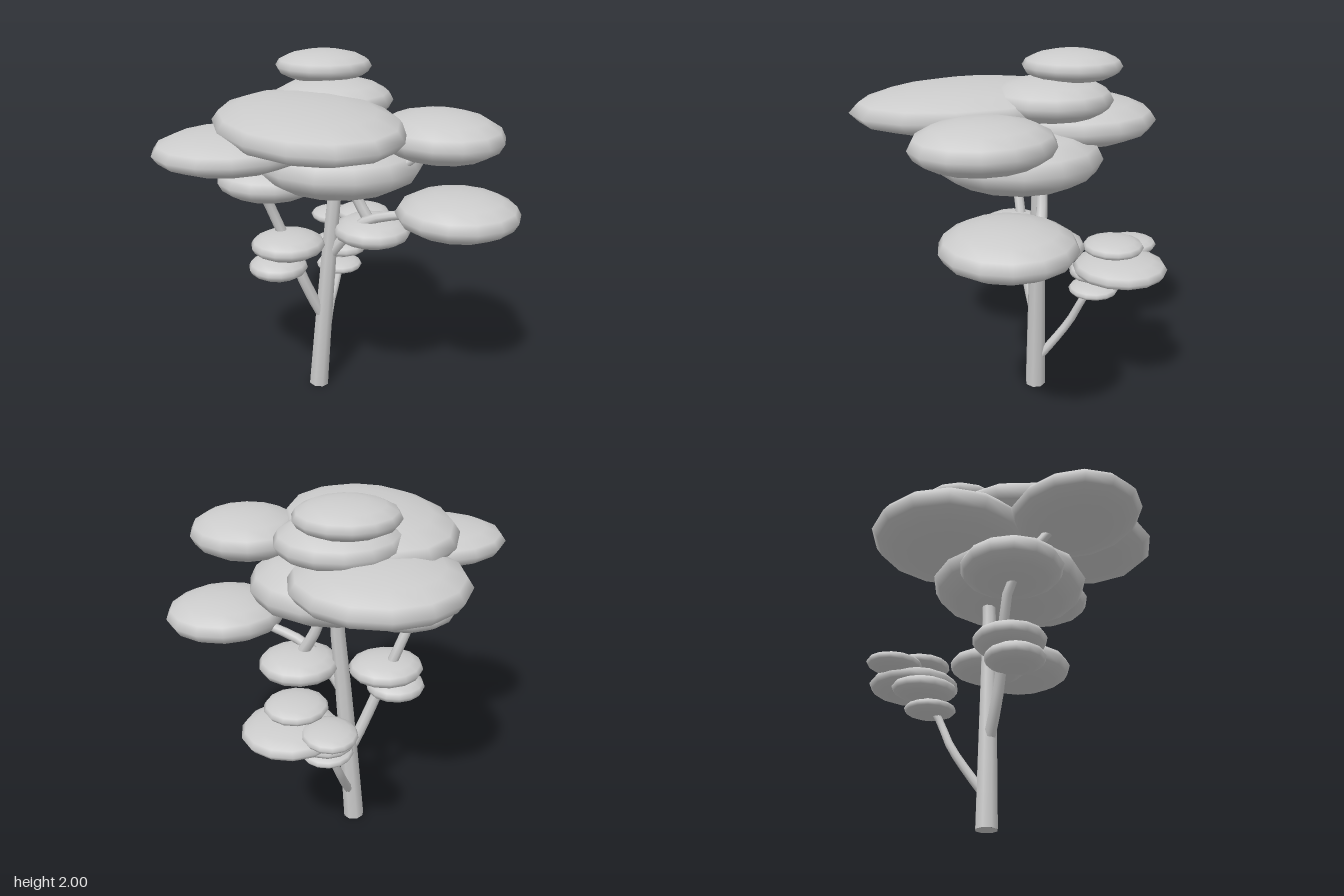
import * as THREE from 'three';

const bark = new THREE.MeshStandardMaterial({ color: 0xcccccc });
const leaves = new THREE.MeshStandardMaterial({ color: 0xcccccc });

// Tapered limb: rings of vertices swept along a smooth curve, with capped ends
function limb(name, points, r0, r1, sides = 8, steps = 10) {
  const curve = new THREE.CatmullRomCurve3(points.map(p => new THREE.Vector3(...p)));
  const geo = new THREE.TubeGeometry(curve, steps, 1, sides, false);
  const pos = geo.attributes.position;
  const v = new THREE.Vector3();
  for (let i = 0; i < pos.count; i++) {
    const t = Math.floor(i / (sides + 1)) / steps;
    const c = curve.getPointAt(t);
    v.fromBufferAttribute(pos, i).sub(c).multiplyScalar(r0 + (r1 - r0) * t).add(c);
    pos.setXYZ(i, v.x, v.y, v.z);
  }
  geo.computeBoundingSphere();
  const group = new THREE.Group();
  group.name = name;
  const tube = new THREE.Mesh(geo, bark);
  tube.name = name + 'Tube';
  group.add(tube);
  for (const [t, r, s] of [[0, r0, -1], [1, r1, 1]]) {
    const cap = new THREE.Mesh(new THREE.CircleGeometry(r, sides), bark);
    cap.name = name + 'Cap';
    cap.position.copy(curve.getPointAt(t));
    cap.quaternion.setFromUnitVectors(new THREE.Vector3(0, 0, 1), curve.getTangentAt(t).multiplyScalar(s));
    group.add(cap);
  }
  return group;
}

// Flattened leaf pads: name, centre, radii
const pads = [
  ['crownTop', [0.09, 1.915, -0.28], [0.265, 0.085, 0.265]],
  ['crownUpper', [0.09, 1.755, -0.15], [0.33, 0.117, 0.33]],
  ['crownFront', [-0.18, 1.71, 0.18], [0.455, 0.13, 0.65]],
  ['crownBack', [-0.04, 1.605, -0.38], [0.45, 0.135, 0.46]],
  ['crownRight', [-0.55, 1.605, 0.11], [0.39, 0.105, 0.35]],
  ['crownCentre', [0.06, 1.465, 0.03], [0.455, 0.175, 0.45]],
  ['crownLeft', [0.435, 1.655, 0.42], [0.315, 0.125, 0.355]],
  ['sideLeft', [0.595, 1.205, 0.38], [0.335, 0.12, 0.33]],
  ['sideRight', [-0.28, 1.355, -0.13], [0.29, 0.11, 0.285]],
  ['lowRightUpper', [-0.195, 0.965, -0.1], [0.21, 0.075, 0.2]],
  ['lowRightLower', [-0.255, 0.84, -0.1], [0.167, 0.067, 0.165]],
  ['lowLeftFront', [0.275, 1.02, 0], [0.222, 0.083, 0.225]],
  ['lowLeftOuter', [0.425, 0.87, -0.4], [0.255, 0.072, 0.255]],
  ['lowLeftInner', [0.25, 0.79, -0.4], [0.16, 0.057, 0.185]],
  ['lowLeftBottom', [0.23, 0.67, -0.37], [0.14, 0.041, 0.142]],
  ['lowLeftTop', [0.39, 0.985, -0.375], [0.165, 0.05, 0.165]],
  ['lowLeftBack', [0.275, 0.92, -0.575], [0.14, 0.045, 0.155]],
];

export function createModel() {
  const tree = new THREE.Group();
  tree.name = 'tree';

  // Leaning trunk
  tree.add(limb('trunk', [[0, 0, -0.13], [0.03, 0.5, -0.115], [0.06, 0.95, -0.1], [0.085, 1.3, -0.09], [0.09, 1.75, -0.12]], 0.06, 0.032));

  // Branches reaching into the pads
  tree.add(limb('backBranch', [[0.035, 0.2, -0.14], [0.08, 0.3, -0.2], [0.14, 0.45, -0.28], [0.2, 0.6, -0.32], [0.25, 0.75, -0.39], [0.36, 0.87, -0.4]], 0.026, 0.018));
  tree.add(limb('rightBranch', [[0.02, 0.47, -0.115], [-0.06, 0.63, -0.115], [-0.13, 0.8, -0.12], [-0.22, 1.04, -0.15], [-0.31, 1.26, -0.15], [-0.43, 1.48, -0.03], [-0.5, 1.6, 0.06]], 0.034, 0.025));
  tree.add(limb('leftBranch', [[0.055, 0.86, -0.1], [0.12, 0.98, -0.04], [0.22, 1.1, 0.05], [0.36, 1.16, 0.18], [0.55, 1.2, 0.34]], 0.034, 0.022));
  tree.add(limb('innerBranch', [[0.25, 1.09, 0], [0.2, 1.2, -0.04], [0.16, 1.32, -0.06], [0.12, 1.5, -0.06]], 0.033, 0.028, 8, 6));
  tree.add(limb('frontBranch', [[0.09, 1.36, -0.08], [0.17, 1.42, 0.14], [0.25, 1.48, 0.34], [0.42, 1.64, 0.42]], 0.03, 0.022));

  // Foliage
  const foliage = new THREE.Group();
  foliage.name = 'foliage';
  const ball = new THREE.SphereGeometry(1, 14, 8);
  pads.forEach(([name, centre, radii]) => {
    const pad = new THREE.Mesh(ball, leaves);
    pad.name = name + 'Pad';
    pad.position.set(...centre);
    pad.scale.set(...radii);
    foliage.add(pad);
  });
  tree.add(foliage);
  return tree;
}
